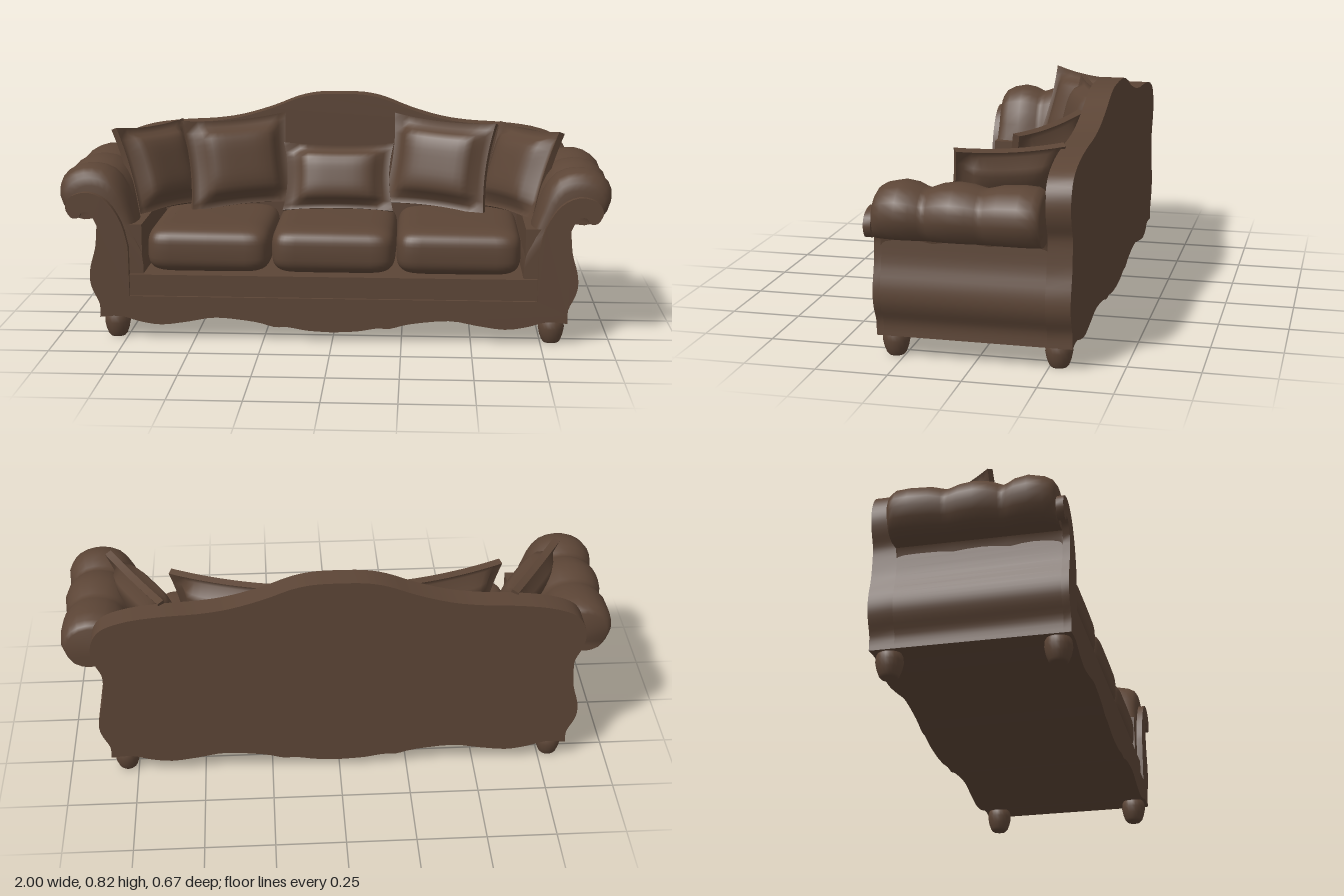
import * as THREE from 'three';
import { toCreasedNormals } from 'three/addons/utils/BufferGeometryUtils.js';

const fabric = new THREE.MeshStandardMaterial({ color: 0x5c4536 });
fabric.name = 'brownFabric';

// half outlines, listed on the +x side
const SKIRT = [[0, .035], [.09, .04], [.16, .052], [.21, .052], [.28, .07], [.42, .084], [.52, .068],
  [.62, .055], [.7, .066], [.77, .085], [.845, .08]];
const SIDE = [[.845, .08], [.845, .13], [.868, .18], [.878, .22], [.874, .27], [.855, .34], [.848, .42]];

const smooth = (pts, n = 3) =>
  new THREE.SplineCurve(pts.map(p => new THREE.Vector2(...p))).getPoints((pts.length - 1) * n).map(p => [p.x, p.y]);

function mesh(name, geometry, parent) {
  const m = new THREE.Mesh(geometry, fabric);
  m.name = name;
  parent.add(m);
  return m;
}

// extrude a half outline mirrored across x = 0
function mirroredSlab(half, z0, z1) {
  const pts = half.filter((p, i) => !i || Math.hypot(p[0] - half[i - 1][0], p[1] - half[i - 1][1]) > 1e-4);
  const other = pts.filter(p => p[0] > 1e-4).reverse().map(p => [-p[0], p[1]]);
  const shape = new THREE.Shape([...pts, ...other].map(p => new THREE.Vector2(...p)));
  const g = new THREE.ExtrudeGeometry(shape, { depth: z1 - z0, bevelEnabled: false });
  g.translate(0, 0, z0);
  return toCreasedNormals(g, .6);
}

// rolled arm: a scroll section lofted along z, its upper part puffed in three bulges
function armGeometry(side) {
  const section = [[.84, .24], [.848, .42], [.86, .442], ...smooth([[.91, .438], [.965, .455], [.998, .52], [.985, .58], [.935, .62],
    [.87, .63], [.8, .608], [.75, .54], [.715, .43], [.69, .32], [.685, .24]], 2)];
  const stations = [[.312, .6], [.306, .76], [.295, .86], [.27, .94], [.22, 1], [.175, .96], [.15, .89], [.135, .86],
    [.12, .89], [.09, .96], [.04, 1], [-.01, .97], [-.04, .92], [-.055, .9], [-.07, .92], [-.11, .98],
    [-.18, 1], [-.225, .98], [-.245, .91], [-.252, .84]];
  const n = section.length, pos = [], idx = [];
  const tri = (a, b, c) => side > 0 ? idx.push(a, b, c) : idx.push(a, c, b);
  for (const [z, puff] of stations) {
    for (const [x, y] of section) {
      const k = 1 - (1 - puff) * THREE.MathUtils.smoothstep(y, .3, .5);
      pos.push(side * (.86 + (x - .86) * k), y > .46 ? .46 + (y - .46) * k : y, z);
    }
  }
  for (let i = 0; i < stations.length - 1; i++) {
    for (let j = 0; j < n; j++) {
      const a = i * n + j, b = i * n + (j + 1) % n;
      tri(a, a + n, b);
      tri(b, a + n, b + n);
    }
  }
  const last = (stations.length - 1) * n, mid = stations.length * n;
  pos.push(side * .83, .48, stations[0][0], side * .83, .48, -.252);
  for (let j = 0; j < n; j++) {
    const k = (j + 1) % n;
    tri(mid, j, k);
    tri(mid + 1, last + k, last + j);
  }
  const g = new THREE.BufferGeometry();
  g.setAttribute('position', new THREE.Float32BufferAttribute(pos, 3));
  g.setIndex(idx);
  return toCreasedNormals(g, .8);
}

// plump box cushion: a sphere squared off into a superellipsoid
function cushionGeometry(w, h, d) {
  const g = new THREE.SphereGeometry(1, 48, 24), p = g.attributes.position;
  const pw = (v, e) => Math.sign(v) * Math.abs(v) ** e;
  for (let i = 0; i < p.count; i++) {
    const y = THREE.MathUtils.clamp(p.getY(i), -1, 1), r = Math.sqrt(1 - y * y);
    const a = Math.atan2(p.getZ(i), p.getX(i)), ring = pw(r, .3);
    p.setXYZ(i, ring * pw(Math.cos(a), .25) * w / 2, pw(y, .6) * h / 2, ring * pw(Math.sin(a), .25) * d / 2);
  }
  g.computeVertexNormals();
  return g;
}

// throw pillow: swollen centre, thin flange, pointed corners
function pillowGeometry(w, h, t) {
  const g = new THREE.BoxGeometry(2, 2, 2, 14, 14, 1), p = g.attributes.position;
  for (let i = 0; i < p.count; i++) {
    const u = p.getX(i), v = p.getY(i), m = Math.max(Math.abs(u), Math.abs(v));
    const inside = Math.max(0, 1 - (u / .857) ** 4) * Math.max(0, 1 - (v / .857) ** 4);
    const half = m > .9 ? .013 : .008 + t / 2 * Math.sqrt(m < .85 ? inside : 0);
    p.setXYZ(i, u * w / 2 * (1 - .08 * (1 - v * v)), v * h / 2 * (1 - .08 * (1 - u * u)), p.getZ(i) * half);
  }
  g.computeVertexNormals();
  return g;
}

export function createModel() {
  const sofa = new THREE.Group();
  sofa.name = 'sofa';
  const skirt = smooth(SKIRT), side = smooth(SIDE);

  // base with scalloped skirt and seat deck
  mesh('base', mirroredSlab([...skirt, ...side, [.69, .42], [.69, .235], [0, .235]], -.25, .31), sofa);

  // arched back panel
  const crown = smooth([[.848, .42], [.85, .46], [.872, .51], [.882, .56], [.87, .615], [.83, .66], [.74, .69], [.62, .705],
    [.5, .712], [.39, .728], [.27, .763], [.17, .802], [.09, .819], [0, .822]]);
  mesh('backrest', mirroredSlab([...skirt, ...side, ...crown], -.335, -.25), sofa);

  // front trim sweeping up into the arm scrolls
  const scroll = smooth([[.848, .42], [.87, .462], [.9, .468], [.915, .447], [.942, .45], [.96, .487], [.938, .526], [.875, .54],
    [.81, .508], [.76, .43], [.737, .34]]);
  mesh('frontTrim', mirroredSlab([...skirt, ...side, ...scroll, [.735, .16], [0, .16]], .31, .335), sofa);

  // rail below the cushions
  const rail = mesh('frontRail', new THREE.BoxGeometry(1.47, .08, .03), sofa);
  rail.position.set(0, .198, .309);

  // seat cushions
  for (const x of [-.453, 0, .453]) {
    mesh('seatCushion', cushionGeometry(.452, .175, .53), sofa).position.set(x, .322, .055);
  }

  // throw pillows, fanned across the back
  const pillow = (name, w, h, t, pos, yaw, tilt, roll = 0) => {
    const m = mesh(name, pillowGeometry(w, h, t), sofa);
    m.position.set(...pos);
    m.rotation.set(tilt, yaw, roll, 'YXZ');
  };
  pillow('centrePillow', .42, .26, .11, [0, .525, -.09], 0, -.3);

  const leg = [[0, 0], [.027, 0], [.034, .008], [.042, .03], [.047, .055], [.045, .075], [.036, .095]]
    .map(p => new THREE.Vector2(...p));
  for (const s of [-1, 1]) {
    mesh('arm', armGeometry(s), sofa);
    pillow('innerPillow', .41, .35, .12, [s * .385, .573, -.125], -s * .36, -.25, s * -.04);
    pillow('sidePillow', .38, .34, .11, [s * .68, .563, -.065], -s * 1.02, -.36, s * .03);
    for (const z of [.283, -.28]) {
      mesh('leg', new THREE.LatheGeometry(leg, 20), sofa).position.set(s * .79, 0, z);
    }
  }
  return sofa;
}
